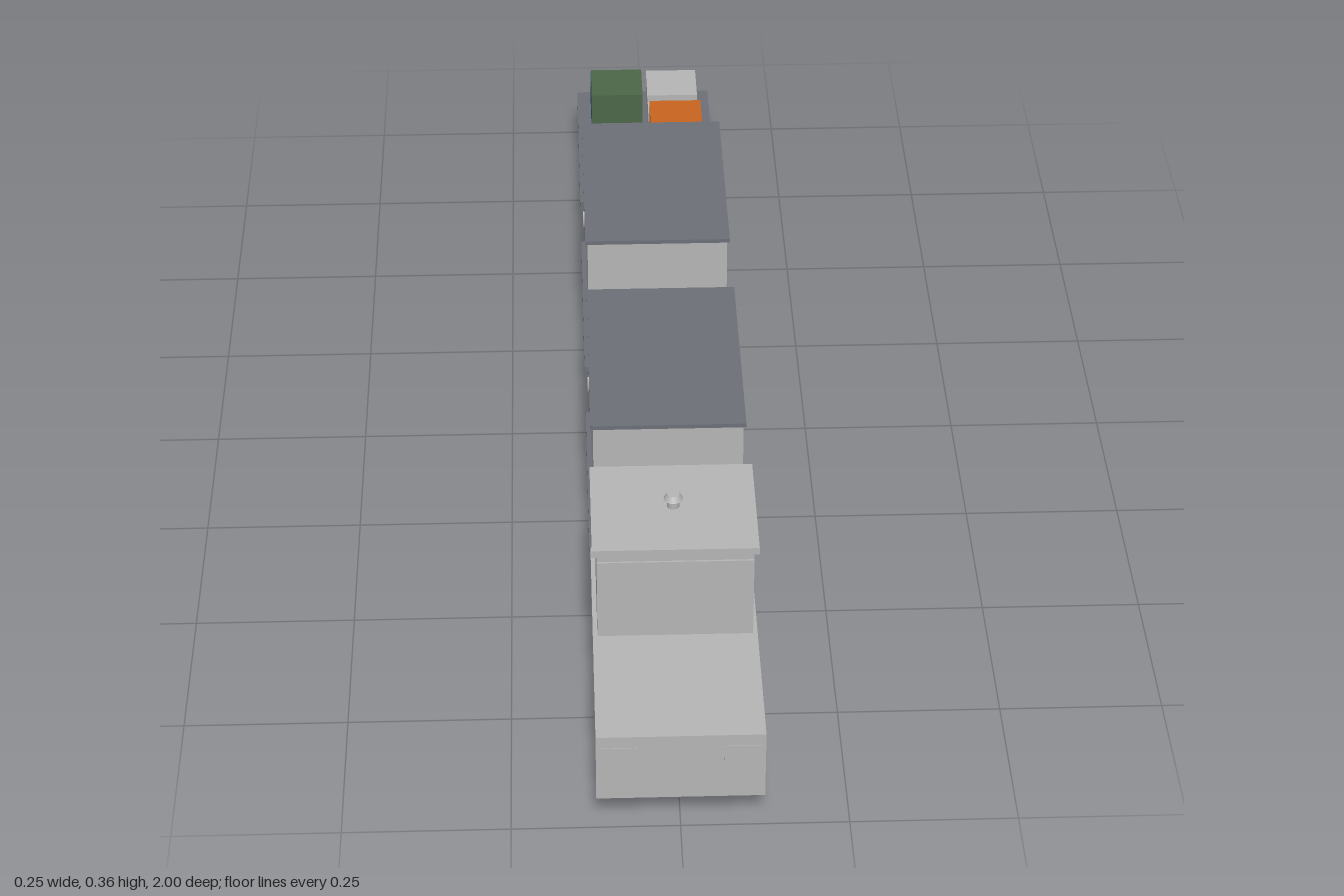
import * as THREE from 'three';

const mat = (name, color) => {
  const m = new THREE.MeshStandardMaterial({ color });
  m.name = name;
  return m;
};

export function createModel() {
  const grey = mat('light grey', 0xb4b6b4);
  const dark = mat('slate grey', 0x6c7077);
  const red = mat('red', 0x963530);
  const orange = mat('orange', 0xc9641f);
  const green = mat('green', 0x4c6749);
  const blue = mat('blue', 0x2a5784);

  const add = (parent, name, geometry, material, x, y, z) => {
    const mesh = new THREE.Mesh(geometry, material);
    mesh.name = name;
    mesh.position.set(x, y, z);
    parent.add(mesh);
    return mesh;
  };

  // Box given by width, bottom and top height, and back and front z
  const box = (parent, name, material, w, y0, y1, z0, z1, x = 0) =>
    add(parent, name, new THREE.BoxGeometry(w, y1 - y0, z1 - z0), material,
      x, (y0 + y1) / 2, (z0 + z1) / 2);

  // Mirrored pairs of wheels
  const wheels = (parent, r, zs) => {
    const geometry = new THREE.CylinderGeometry(r, r, 0.037, 24).rotateZ(Math.PI / 2);
    for (const z of zs) for (const s of [-1, 1]) add(parent, 'wheel', geometry, grey, s * 0.1015, r, z);
  };

  const group = (name, parent) => {
    const g = new THREE.Group();
    g.name = name;
    parent.add(g);
    return g;
  };

  const model = new THREE.Group();
  model.name = 'tractorAndTrailers';

  // Tractor
  const tractor = group('tractor', model);
  box(tractor, 'body', grey, 0.248, 0.056, 0.172, 0.547, 1);
  box(tractor, 'cab', grey, 0.234, 0.172, 0.328, 0.58, 0.766);
  box(tractor, 'roof', grey, 0.248, 0.328, 0.34, 0.565, 0.776);
  box(tractor, 'windscreen', grey, 0.234, 0.187, 0.312, 0.766, 0.769);
  for (const s of [-1, 1]) {
    box(tractor, 'headlight', grey, 0.054, 0.118, 0.152, 0.997, 1.001, s * 0.09);
  }
  wheels(tractor, 0.055, [0.895, 0.645]);

  // Beacon on the roof
  add(tractor, 'beaconStem', new THREE.CylinderGeometry(0.0095, 0.0095, 0.015, 16), grey, 0, 0.347, 0.668);
  add(tractor, 'beaconCap', new THREE.CylinderGeometry(0.0095, 0.0145, 0.009, 16), grey, 0, 0.3585, 0.668);

  // Trailers: two closed containers and one flatbed
  const trailer = (name, z, closed) => {
    const g = group(name, model);
    box(g, 'platform', dark, 0.25, 0.069, 0.089, z - 0.2, z + 0.2);
    wheels(g, 0.034, [z - 0.14, z + 0.14]);
    if (closed) {
      box(g, 'container', grey, 0.234, 0.089, 0.332, z - 0.188, z + 0.188);
      box(g, 'lid', dark, 0.242, 0.332, 0.339, z - 0.193, z + 0.193);
    }
    return g;
  };
  trailer('frontTrailer', 0.265, true);
  trailer('middleTrailer', -0.267, true);
  const flatbed = trailer('flatbedTrailer', -0.8, false);

  // Crates on the flatbed: colour, column, row, layer
  const crates = [
    [blue, -1, 0, 0], [grey, 1, 0, 0],
    [green, -1, 1, 1], [grey, 1, 1, 0],
    [red, -1, 2, 0], [orange, 1, 2, 1],
  ];
  for (const [material, side, row, layer] of crates) {
    const z = -0.924 + row * 0.117;
    const y = 0.089 + layer * 0.07;
    box(flatbed, 'crate', material, 0.094, y, y + 0.062, z - 0.047, z + 0.047, side * 0.053);
  }

  return model;
}
